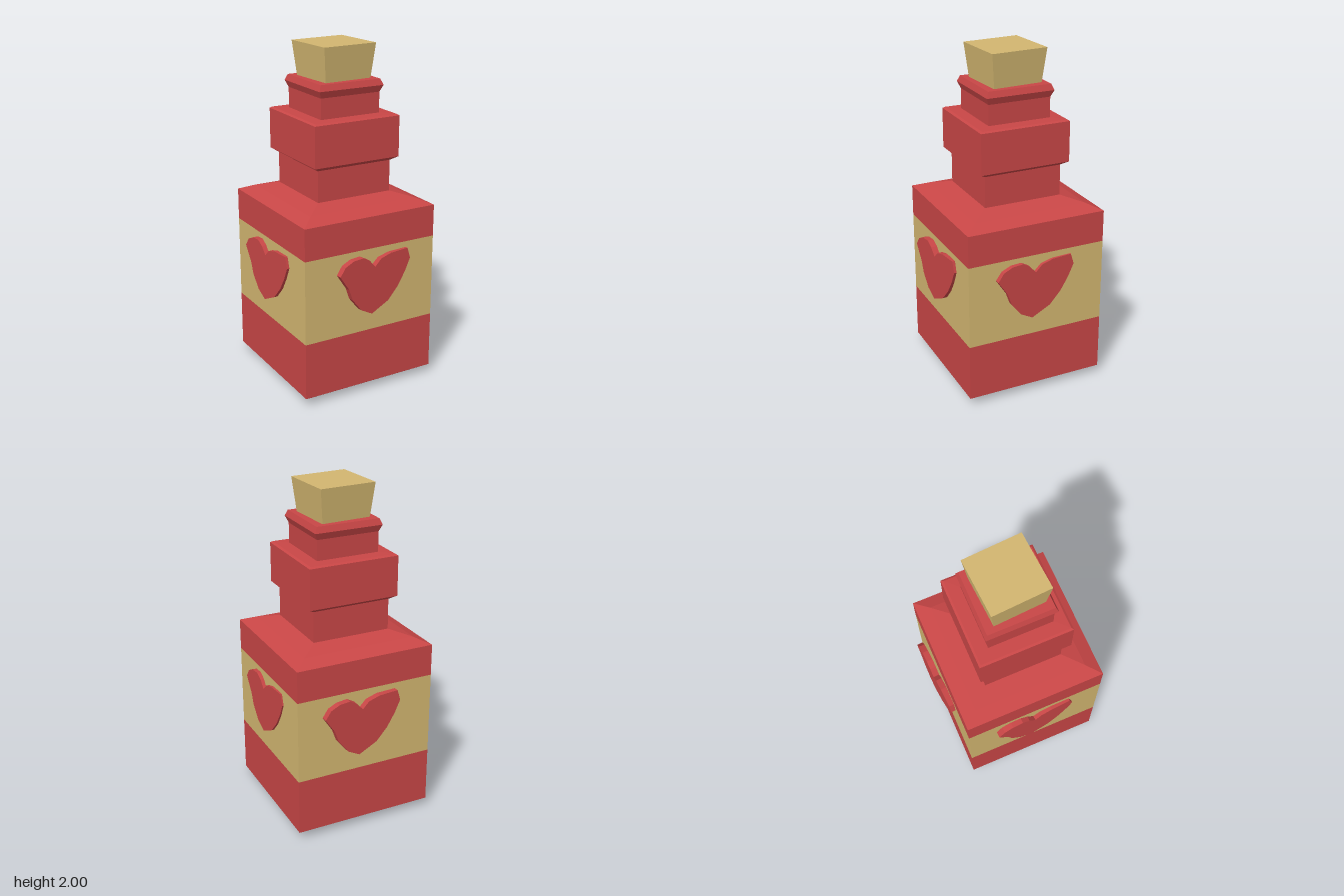
import * as THREE from 'three';

const red = new THREE.MeshStandardMaterial({ color: 0xc84646, flatShading: true });
const tan = new THREE.MeshStandardMaterial({ color: 0xd2b670, flatShading: true });

// Square-section solid from [half width, height] pairs, listed bottom to top
function squareTurned(name, profile, material, yaw) {
  const points = profile.map(([half, y]) => new THREE.Vector2(half * Math.SQRT2, y));
  const mesh = new THREE.Mesh(new THREE.LatheGeometry(points, 4, Math.PI / 4 + yaw), material);
  mesh.name = name;
  return mesh;
}

function heartGeometry(depth) {
  const outline = [
    [-0.26, 0.78], [-0.225, 0.83], [-0.17, 0.855], [-0.105, 0.86], [-0.06, 0.835], [-0.02, 0.79],
    [0.02, 0.83], [0.09, 0.85], [0.21, 0.855], [0.23, 0.79], [0.195, 0.715], [0.145, 0.635],
    [0.075, 0.56], [-0.04, 0.505], [-0.115, 0.545], [-0.175, 0.62], [-0.2, 0.69],
  ];
  const shape = new THREE.Shape(outline.map(([x, y]) => new THREE.Vector2(x, y)));
  const geometry = new THREE.ExtrudeGeometry(shape, { depth, bevelEnabled: false });
  return geometry.translate(0, 0, -depth);
}

export function createModel() {
  const model = new THREE.Group();
  model.name = 'bottle';

  // The glass is turned slightly against the cork
  const yaw = -0.059;
  const side = 0.4257;

  model.add(squareTurned('bottleBase', [[0, 0], [0.35, 0], [side, 0.05], [side, 0.39]], red, yaw));
  model.add(squareTurned('label', [[side, 0.39], [side, 0.89]], tan, yaw));

  // Shoulder, neck, collar and flared lip
  model.add(squareTurned('shoulderAndNeck', [
    [side, 0.89], [side, 1.08], [0.345, 1.115], [0.237, 1.145],
    [0.237, 1.33], [0.274, 1.355], [0.274, 1.595], [0.262, 1.603], [0.19, 1.605],
    [0.19, 1.725], [0.207, 1.765], [0.193, 1.8], [0, 1.8],
  ], red, yaw));

  // Cork, wider at the top
  model.add(squareTurned('cork', [[0, 1.78], [0.149, 1.78], [0.172, 2], [0, 2]], tan, 0));

  // One raised heart per side, each set a little differently
  const hearts = [
    { name: 'frontHeart', turn: 0, shift: 0, out: 0.46, tilt: 0.02 },
    { name: 'leftHeart', turn: 1, shift: -0.025, out: 0.444, tilt: -0.014 },
    { name: 'backHeart', turn: 2, shift: -0.05, out: 0.466, tilt: 0 },
    { name: 'rightHeart', turn: 3, shift: -0.015, out: 0.452, tilt: -0.01 },
  ];
  const geometry = heartGeometry(0.037);
  for (const { name, turn, shift, out, tilt } of hearts) {
    const heart = new THREE.Mesh(geometry, red);
    heart.position.set(shift, 0, out);
    heart.rotation.y = tilt;
    const holder = new THREE.Group();
    holder.name = name;
    holder.rotation.y = turn * Math.PI / 2;
    holder.add(heart);
    model.add(holder);
  }

  return model;
}
